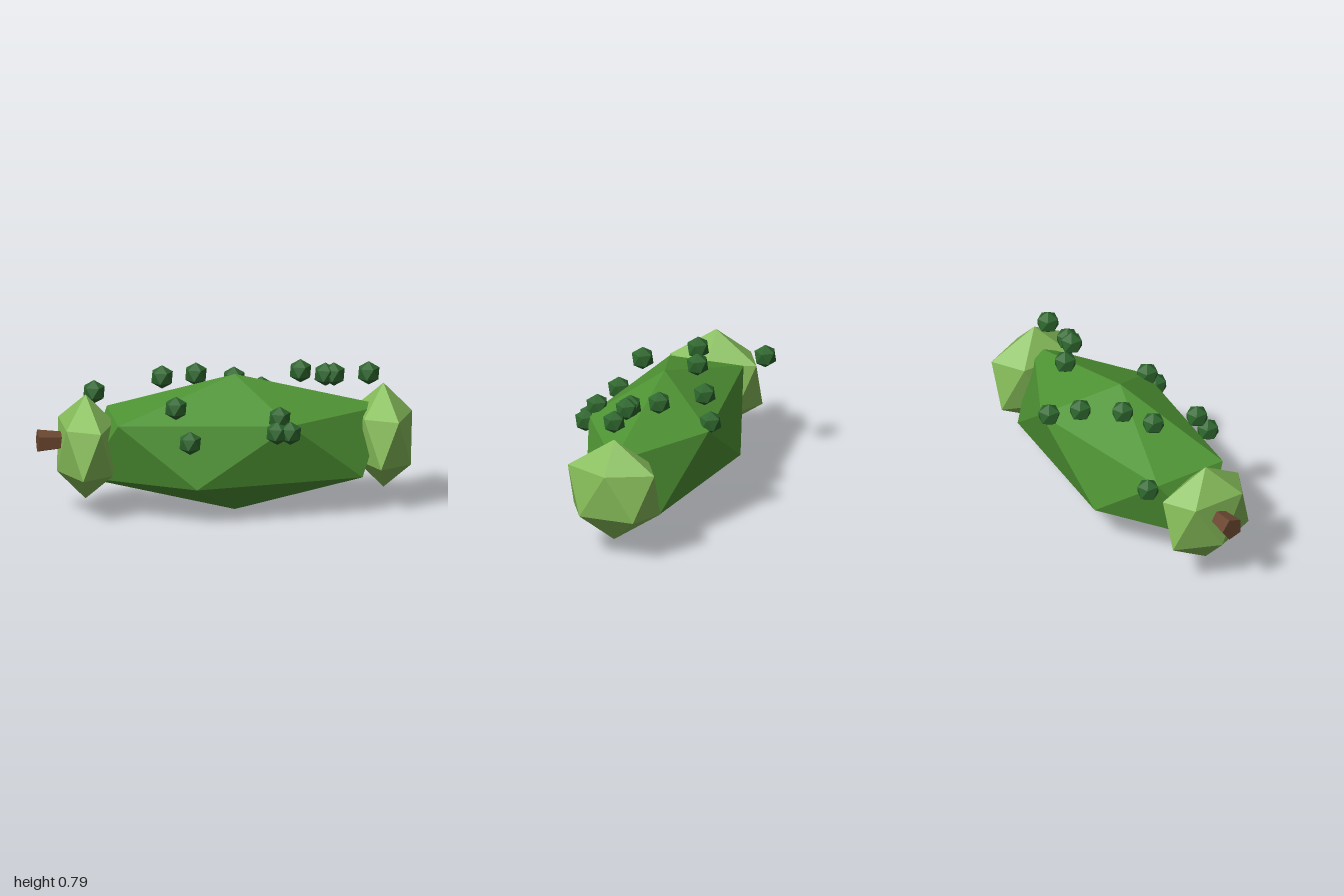
import * as THREE from 'three';

const material = (name, color) => {
  const m = new THREE.MeshStandardMaterial({ color, flatShading: true });
  m.name = name;
  return m;
};

// Twenty-sided ball standing on a point: two poles and two staggered rings of five
function createBallGeometry() {
  const h = Math.sqrt(0.2), r = 2 * h;
  const points = [0, 1, 0, 0, -1, 0];
  const faces = [];
  for (let k = 0; k < 5; k++) {
    const a = (k * Math.PI * 2) / 5, b = a + Math.PI / 5;
    points.push(r * Math.cos(a), h, r * Math.sin(a), r * Math.cos(b), -h, r * Math.sin(b));
    const n = (k + 1) % 5;
    const u = 2 + 2 * k, l = u + 1, u2 = 2 + 2 * n, l2 = u2 + 1;
    faces.push(0, u2, u, u, u2, l, u2, l2, l, 1, l, l2);
  }
  const indexed = new THREE.BufferGeometry();
  indexed.setAttribute('position', new THREE.Float32BufferAttribute(points, 3));
  indexed.setIndex(faces);
  const geometry = indexed.toNonIndexed();
  geometry.computeVertexNormals();
  return geometry;
}

export function createModel() {
  const group = new THREE.Group();
  const skin = material('skin green', 0x4f9434);
  const pale = material('pale green', 0x86bc59);
  const dark = material('dark green', 0x2d652d);
  const brown = material('stem brown', 0x6b4731);
  const ballGeometry = createBallGeometry();

  const ball = (name, mat, position, scale, parent = group) => {
    const mesh = new THREE.Mesh(ballGeometry, mat);
    mesh.name = name;
    mesh.position.set(...position);
    mesh.scale.set(...scale);
    parent.add(mesh);
  };

  // Long body and its two pale ends
  ball('body', skin, [0.05, 0.375, -0.02], [0.9, 0.37, 0.394]);
  ball('leftEnd', pale, [0.843, 0.38, -0.022], [0.171, 0.285, 0.285]);
  ball('rightEnd', pale, [-0.745, 0.38, -0.022], [0.171, 0.285, 0.285]);

  // Five-sided stem, widening outwards
  const stemGeometry = new THREE.CylinderGeometry(0.064, 0.035, 0.25, 5);
  stemGeometry.rotateY(Math.PI); // one corner towards the back
  stemGeometry.rotateZ(Math.PI / 2);
  const stem = new THREE.Mesh(stemGeometry, brown);
  stem.name = 'stem';
  stem.position.set(-0.875, 0.415, -0.026);
  group.add(stem);

  // Warts scattered over the upper side
  const warts = new THREE.Group();
  warts.name = 'warts';
  group.add(warts);
  [
    [-0.655, 0.59, -0.33], [-0.33, 0.73, -0.07], [-0.14, 0.72, -0.135],
    [0.08, 0.655, -0.255], [0.24, 0.57, -0.345], [0.415, 0.72, -0.12],
    [0.53, 0.73, 0], [0.575, 0.73, 0.005], [0.76, 0.73, 0.008],
    [-0.3, 0.64, 0.23], [-0.24, 0.477, 0.342], [0.225, 0.51, 0.33],
    [0.245, 0.58, 0.288], [0.295, 0.508, 0.333],
  ].forEach((p, i) => ball(`wart${i + 1}`, dark, p, [0.064, 0.064, 0.064], warts));

  return group;
}
